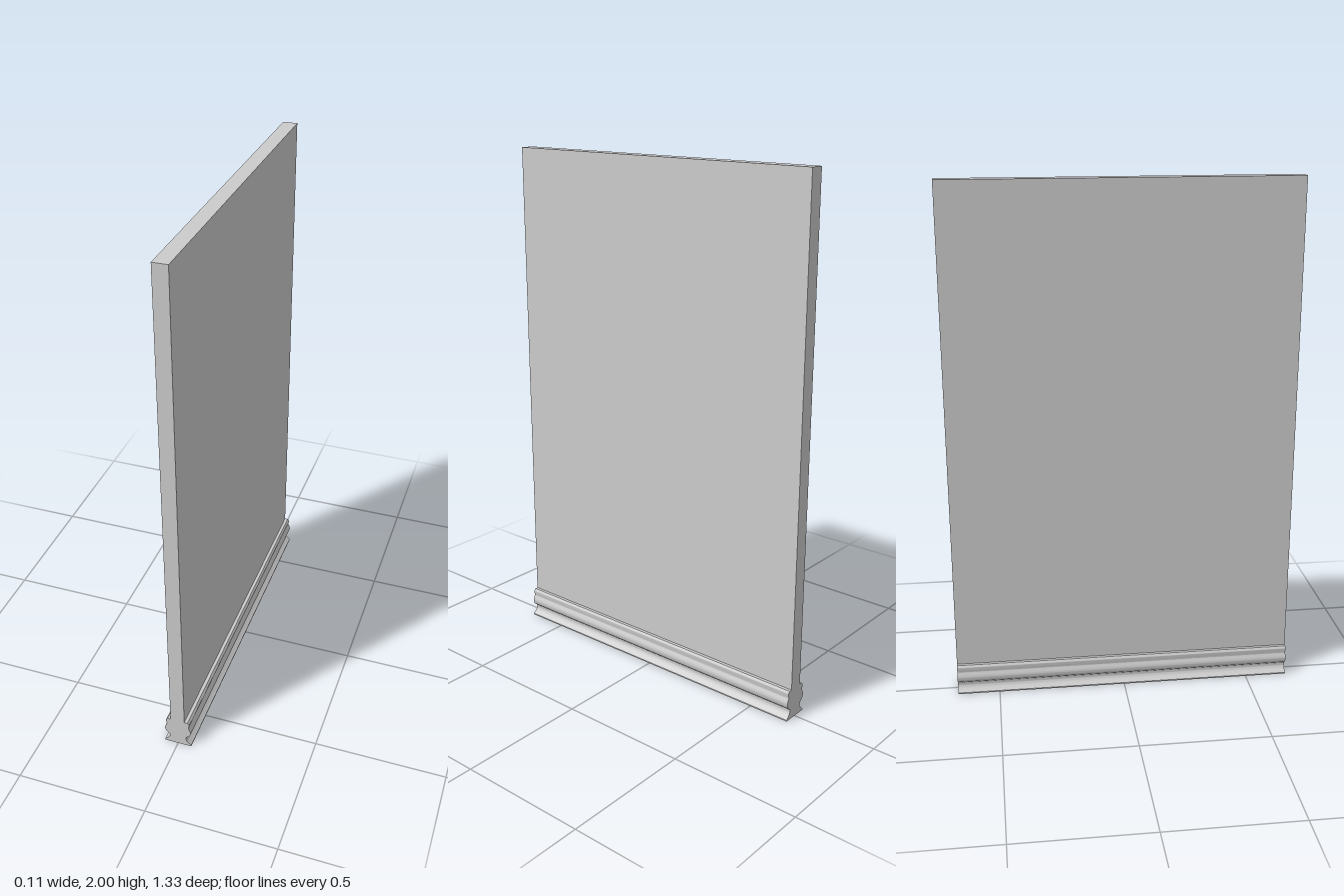
import * as THREE from 'three';
import { toCreasedNormals } from 'three/addons/utils/BufferGeometryUtils.js';

const HEIGHT = 2, DEPTH = 1.33, HALF = 0.0275;

export function createModel() {
  const group = new THREE.Group();
  const material = new THREE.MeshStandardMaterial({ color: 0xcccccc });

  // Upright wall slab
  const panel = new THREE.Mesh(new THREE.BoxGeometry(HALF * 2, HEIGHT, DEPTH), material);
  panel.name = 'wallPanel';
  panel.position.y = HEIGHT / 2;
  group.add(panel);

  // Moulded skirting profile, foot to top
  const curve = [
    [0.053, 0.005], [0.04, 0.017], [0.033, 0.029], [0.034, 0.041], [0.045, 0.05],
    [0.051, 0.062], [0.051, 0.074], [0.046, 0.086], [0.043, 0.094], [0.046, 0.102],
    [0.046, 0.112], [0.04, 0.12],
  ].map(([x, y]) => new THREE.Vector2(x, y));
  const shape = new THREE.Shape();
  shape.moveTo(HALF, 0);
  shape.lineTo(0.053, 0);
  shape.lineTo(0.053, 0.005);
  shape.splineThru(curve.slice(1));
  shape.lineTo(HALF, 0.12);
  shape.closePath();

  // Skirting runs the full length on both faces
  const extruded = new THREE.ExtrudeGeometry(shape, { depth: DEPTH, bevelEnabled: false, curveSegments: 3 });
  extruded.translate(0, 0, -DEPTH / 2);
  const geometry = toCreasedNormals(extruded, 0.7);
  for (const side of [1, -1]) {
    const skirting = new THREE.Mesh(geometry, material);
    skirting.name = side > 0 ? 'leftSkirting' : 'rightSkirting';
    if (side < 0) skirting.rotation.y = Math.PI;
    group.add(skirting);
  }
  return group;
}
